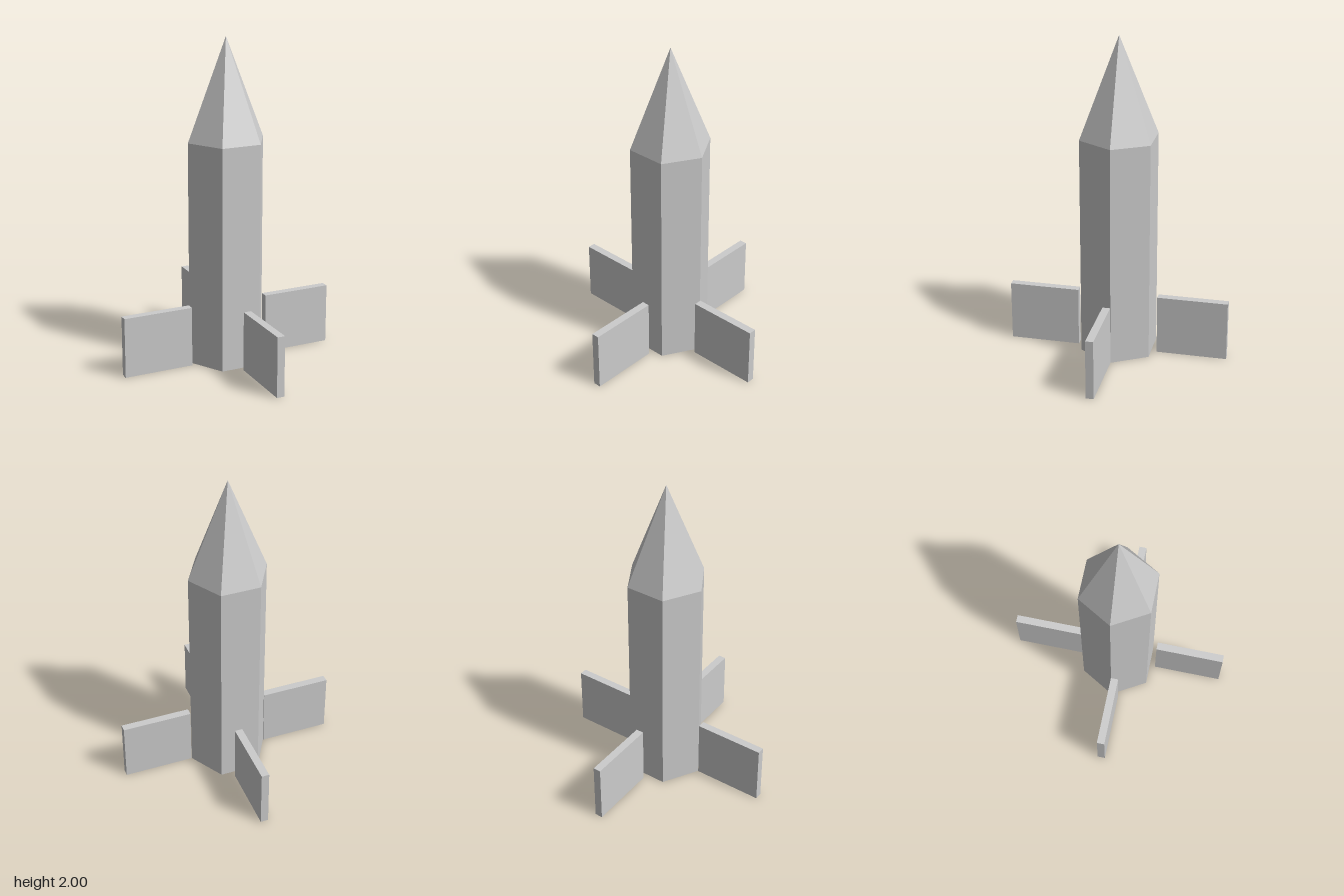
import * as THREE from 'three';

export function createModel() {
  const model = new THREE.Group();
  const material = new THREE.MeshStandardMaterial({ color: 0xcccccc, flatShading: true });

  const add = (name, geometry, x, y, z) => {
    const mesh = new THREE.Mesh(geometry, material);
    mesh.name = name;
    mesh.position.set(x, y, z);
    model.add(mesh);
  };

  // Hexagonal body and pointed nose, corners on the x axis
  const radius = 0.247, bodyHeight = 1.385, noseHeight = 2 - bodyHeight;
  const body = new THREE.CylinderGeometry(radius, radius, bodyHeight, 6).rotateY(Math.PI / 2);
  const nose = new THREE.ConeGeometry(radius, noseHeight, 6, 1, true).rotateY(Math.PI / 2);
  add('body', body, 0, bodyHeight / 2, 0);
  add('noseCone', nose, 0, bodyHeight + noseHeight / 2, 0);

  // Four slab fins, each with one face on the centre plane
  const inner = 0.25, outer = 0.686, finHeight = 0.375, thickness = 0.048;
  const length = outer - inner, middle = (inner + outer) / 2;
  const sideFin = new THREE.BoxGeometry(length, finHeight, thickness);
  const endFin = new THREE.BoxGeometry(thickness, finHeight, length);
  for (const s of [1, -1]) {
    add(s > 0 ? 'leftFin' : 'rightFin', sideFin, s * middle, finHeight / 2, thickness / 2);
    add(s > 0 ? 'frontFin' : 'backFin', endFin, thickness / 2, finHeight / 2, s * middle);
  }

  return model;
}
